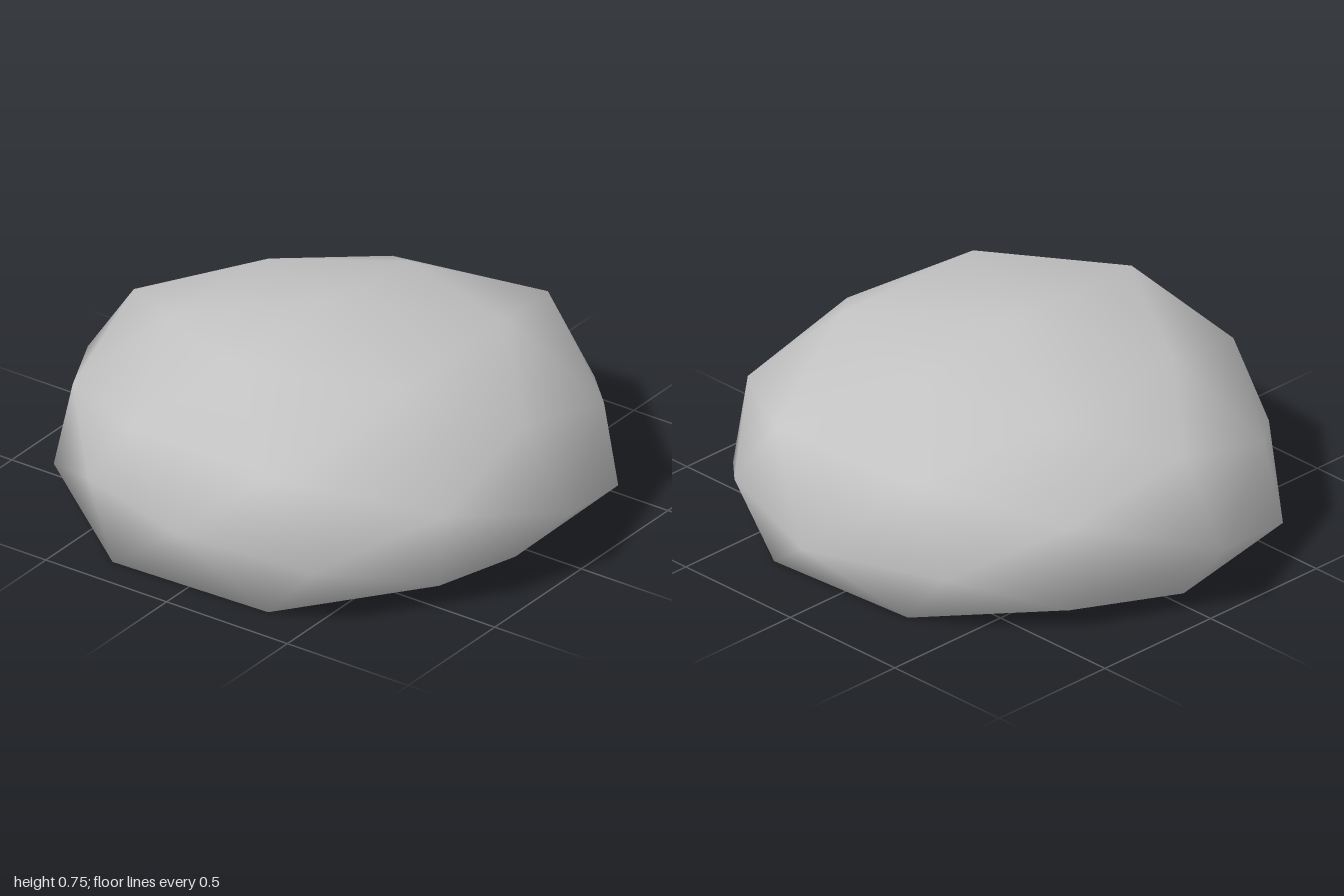
import * as THREE from 'three';
import { mergeVertices } from 'three/addons/utils/BufferGeometryUtils.js';

// Irregular corners of the boulder, ring by ring; the base is pressed flat.
const corners = [
  // crown
  [-0.06, 0.745, 0], [0.42, 0.67, 0], [-0.615, 0.73, 0],
  [0.25, 0.685, 0.51], [-0.37, 0.685, 0.51], [0.23, 0.62, -0.46], [-0.35, 0.66, -0.46],
  // shoulder
  [-0.06, 0.51, 0.80], [-0.06, 0.52, -0.81],
  [0.755, 0.51, 0.32], [0.68, 0.49, -0.27], [-0.855, 0.505, 0.31], [-0.81, 0.49, -0.29],
  [0.41, 0.39, 0.80], [-0.58, 0.41, 0.85], [0.40, 0.39, -0.73], [-0.51, 0.38, -0.74],
  // widest ring
  [0.945, 0.24, 0], [-0.95, 0.24, 0], [-0.06, 0.24, 1], [-0.06, 0.24, -1],
  [0.76, 0.24, 0.51], [0.76, 0.24, -0.50], [-0.91, 0.24, 0.54], [-0.81, 0.24, -0.46],
  // undercut and foot
  [0.45, 0.065, 0.83], [-0.50, 0.085, 0.77], [0.40, 0.08, -0.73], [-0.55, 0.075, -0.79],
  [0.76, 0, 0.32], [0.72, 0, -0.28], [-0.86, 0, 0.32], [-0.88, 0, -0.31],
  [-0.06, 0, 0.77], [-0.06, 0, -0.81],
].map((p) => new THREE.Vector3(...p));

export function createModel() {
  const group = new THREE.Group();
  group.name = 'boulder';
  const stone = new THREE.MeshStandardMaterial({ color: 0xc3c3c3 });
  stone.name = 'stone grey';

  // Squash a subdivided icosahedron, then pull each vertex to its own corner.
  let geometry = new THREE.IcosahedronGeometry(1, 1);
  geometry.deleteAttribute('uv');
  geometry.deleteAttribute('normal');
  geometry = mergeVertices(geometry, 1e-3);
  const position = geometry.attributes.position;
  const v = new THREE.Vector3();
  for (let i = 0; i < position.count; i++) {
    v.fromBufferAttribute(position, i);
    const underside = v.y < -0.6;
    v.set(v.x * 0.94 - 0.06, v.y * 0.5 + 0.24, v.z);
    if (underside) {
      v.y = 0;
    } else {
      let nearest = corners[0];
      for (const c of corners) {
        if (c.distanceToSquared(v) < nearest.distanceToSquared(v)) nearest = c;
      }
      v.copy(nearest);
    }
    position.setXYZ(i, v.x, v.y, v.z);
  }

  // Shared vertices give soft shading over the whole stone.
  geometry.computeVertexNormals();
  const rock = new THREE.Mesh(geometry, stone);
  rock.name = 'rock';
  group.add(rock);
  return group;
}
